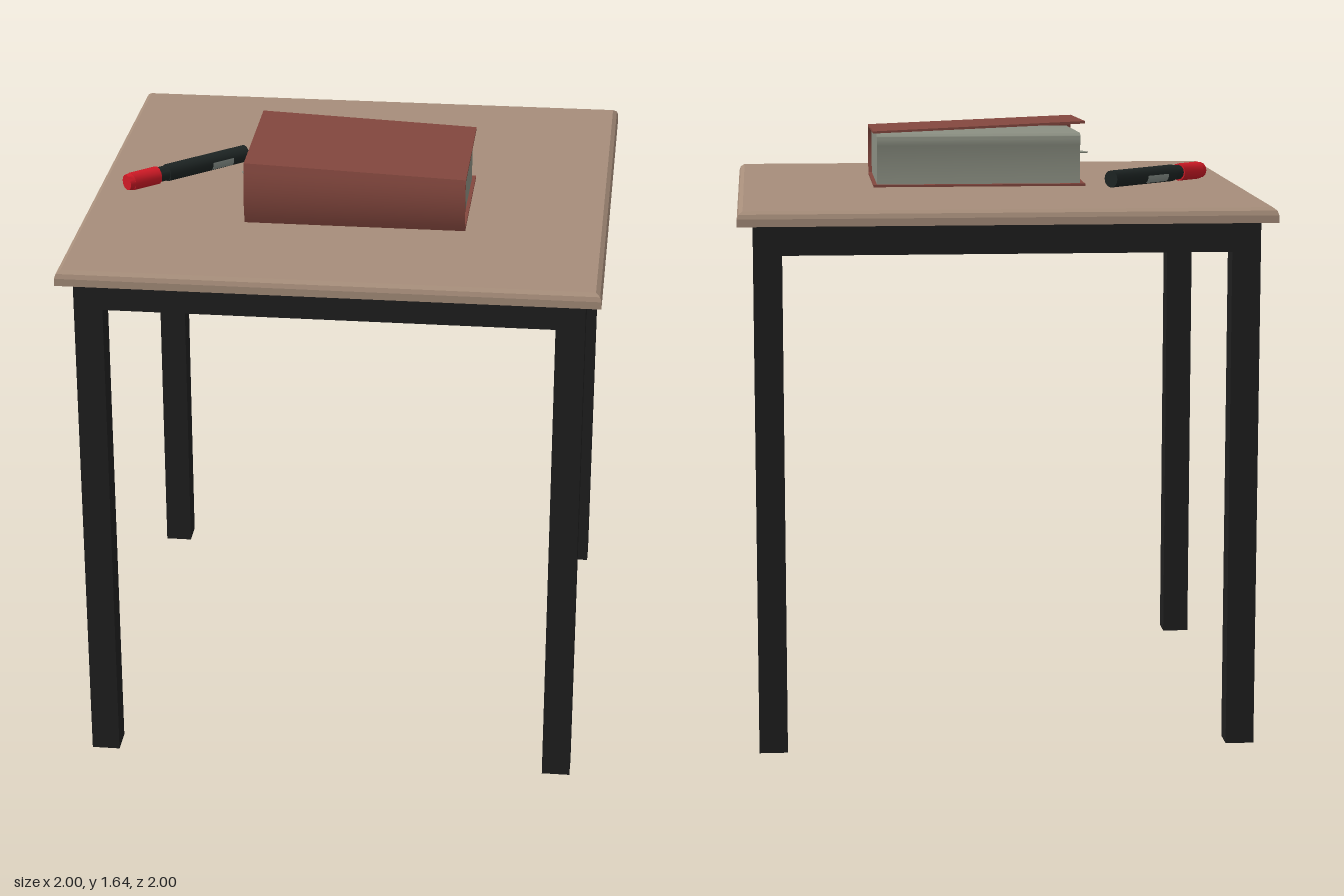
import * as THREE from 'three';
import { toCreasedNormals } from 'three/addons/utils/BufferGeometryUtils.js';

const mat = (name, color, side = THREE.FrontSide) => {
  const m = new THREE.MeshStandardMaterial({ color, side });
  m.name = name;
  return m;
};

export function createModel() {
  const wood = mat('wood', 0xa68d7a);
  const blackMetal = mat('black metal', 0x1f1f1f);
  const coverRed = mat('cover red', 0x83473e);
  const paper = mat('paper', 0x8b8f82, THREE.DoubleSide);
  const capRed = mat('cap red', 0xd01a26);
  const penBlack = mat('pen black', 0x1d2423);
  const label = mat('label grey', 0x87908a, THREE.DoubleSide);

  const model = new THREE.Group();
  model.name = 'deskWithBook';
  const add = (parent, name, geo, material) => {
    const m = new THREE.Mesh(geo, material);
    m.name = name;
    parent.add(m);
    return m;
  };

  // Everything but the pen is aligned with the turned table
  const turned = new THREE.Group();
  turned.name = 'table';
  turned.rotation.y = -0.737;
  model.add(turned);

  // Square top with a softened upper edge
  const topProfile = [[0, 1.42], [1.002, 1.42], [1.002, 1.44], [0.996, 1.452], [0.98, 1.46], [0, 1.46]]
    .map(([r, y]) => new THREE.Vector2(r, y));
  const top = new THREE.LatheGeometry(topProfile, 4, Math.PI / 4).toNonIndexed();
  top.computeVertexNormals();
  add(turned, 'tableTop', top, wood);

  // Four legs and the rails between them
  const S = 0.076, C = 0.63;
  for (const x of [-1, 1]) for (const z of [-1, 1]) {
    add(turned, 'leg', new THREE.BoxGeometry(S, 1.42, S), blackMetal).position.set(x * C, 0.71, z * C);
  }
  for (const s of [-1, 1]) {
    add(turned, 'railAlongX', new THREE.BoxGeometry(2 * C - S, 0.08, S), blackMetal).position.set(0, 1.38, s * C);
    add(turned, 'railAlongZ', new THREE.BoxGeometry(S, 0.08, 2 * C - S), blackMetal).position.set(s * C, 1.38, 0);
  }

  // Book: cross-sections in (z, y) drawn out along x
  const book = new THREE.Group();
  book.name = 'book';
  turned.add(book);
  const alongX = (shape, xMax, length) => {
    const g = new THREE.ExtrudeGeometry(shape, { depth: length, bevelEnabled: false, curveSegments: 8 });
    return g.rotateY(-Math.PI / 2).translate(xMax, 0, 0);
  };

  // Wrap-around cover, its upper board lifting towards -x
  const cover = new THREE.Shape();
  cover.moveTo(-0.087, 1.461);
  cover.lineTo(0.315, 1.461);
  cover.quadraticCurveTo(0.346, 1.535, 0.318, 1.607);
  cover.lineTo(-0.072, 1.616);
  cover.lineTo(-0.072, 1.61);
  cover.lineTo(0.312, 1.601);
  cover.quadraticCurveTo(0.338, 1.535, 0.311, 1.467);
  cover.lineTo(-0.087, 1.467);
  cover.closePath();
  const coverGeo = alongX(cover, 0.33, 0.595);
  const p = coverGeo.attributes.position;
  for (let i = 0; i < p.count; i++) {
    const lift = Math.max(0, (p.getY(i) - 1.467) / 0.145);
    p.setY(i, p.getY(i) + lift * 0.025 * (0.33 - p.getX(i)) / 0.595);
  }
  add(book, 'cover', toCreasedNormals(coverGeo, 0.6), coverRed);

  // Page block with a slightly hollow fore edge
  const pages = new THREE.Shape();
  pages.moveTo(-0.07, 1.467);
  pages.lineTo(0.31, 1.467);
  pages.quadraticCurveTo(0.336, 1.535, 0.31, 1.6);
  pages.lineTo(-0.06, 1.608);
  pages.quadraticCurveTo(-0.073, 1.604, -0.072, 1.59);
  pages.quadraticCurveTo(-0.062, 1.53, -0.07, 1.467);
  add(book, 'pages', toCreasedNormals(alongX(pages, 0.32, 0.572), 0.6), paper);

  // Corner of a loose sheet sticking out of the pages
  const sheet = new THREE.Shape([[-0.297, 0.134], [-0.24, 0.118], [-0.24, 0.29]]
    .map(([x, z]) => new THREE.Vector2(x, -z)));
  const sheetGeo = new THREE.ExtrudeGeometry(sheet, { depth: 0.003, bevelEnabled: false });
  add(book, 'looseSheet', sheetGeo.rotateX(-Math.PI / 2).translate(0, 1.535, 0), paper);

  // Marker pen lying along x
  const pen = new THREE.Group();
  pen.name = 'markerPen';
  pen.position.set(0, 1.485, -0.33);
  model.add(pen);
  const rod = (name, x0, x1, r0, r1, material) => {
    const g = new THREE.CylinderGeometry(r1, r0, x1 - x0, 12).rotateZ(-Math.PI / 2);
    add(pen, name, toCreasedNormals(g, 0.7), material).position.x = (x0 + x1) / 2;
  };
  rod('capEnd', -0.54, -0.525, 0.022, 0.024, capRed);
  rod('cap', -0.525, -0.44, 0.025, 0.025, capRed);
  rod('collar', -0.44, -0.41, 0.021, 0.021, penBlack);
  rod('barrel', -0.41, -0.147, 0.024, 0.024, penBlack);

  // Pale label patches hugging the barrel: [x0, x1, start angle]
  for (const [x0, x1, a] of [[-0.27, -0.2, -0.2], [-0.37, -0.28, 2.2]]) {
    const g = new THREE.CylinderGeometry(0.0247, 0.0247, x1 - x0, 6, 1, true, a + Math.PI / 2, 1).rotateZ(-Math.PI / 2);
    g.rotateX(-Math.PI / 2);
    add(pen, 'labelPatch', g, label).position.x = (x0 + x1) / 2;
  }
  return model;
}
